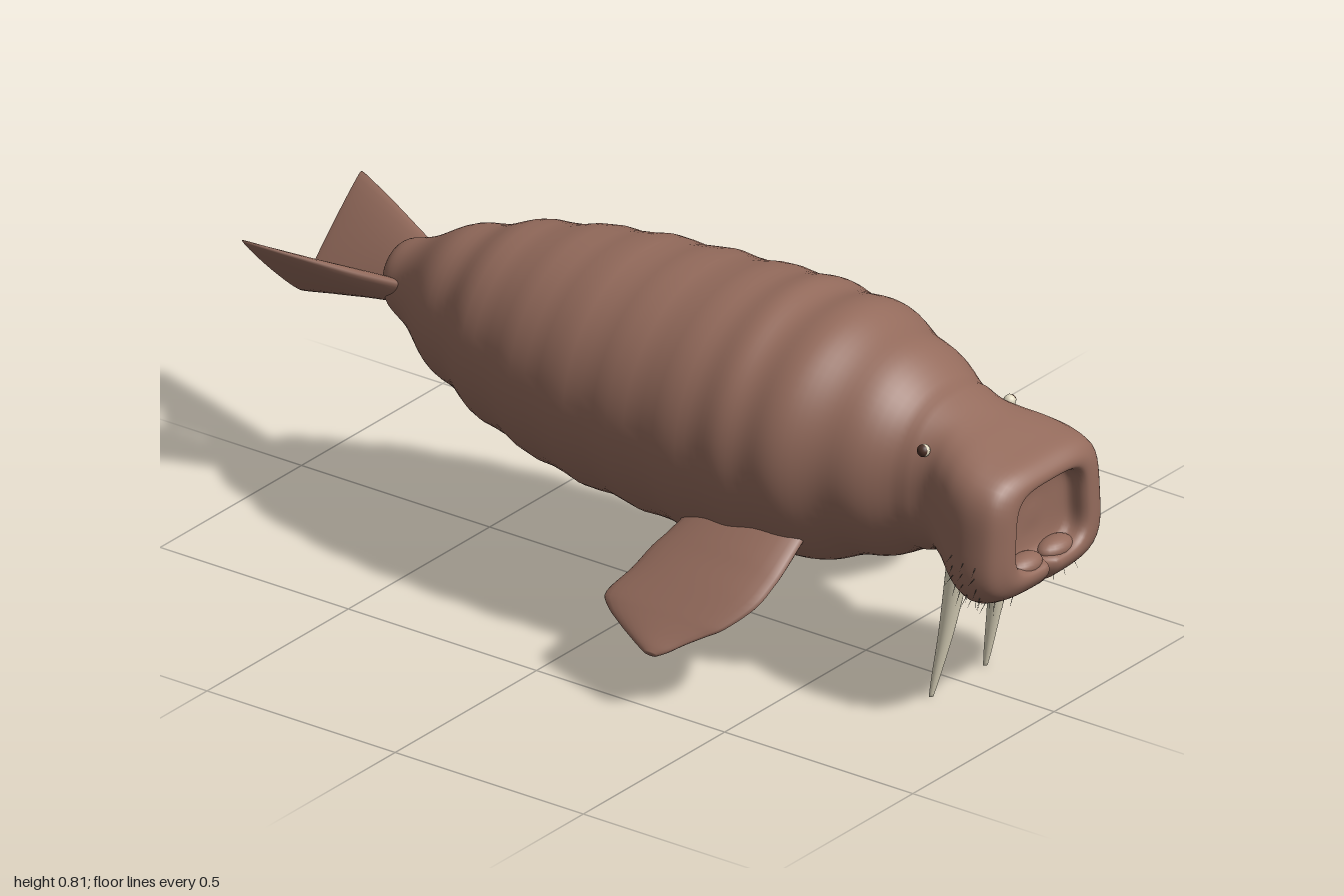
import * as THREE from 'three';

const V = (x, y, z) => new THREE.Vector3(x, y, z);
const mat = (name, color) => {
  const m = new THREE.MeshStandardMaterial({ color });
  m.name = name;
  return m;
};

// Catmull-Rom interpolation through rows of numbers
function smoothRows(rows, steps) {
  const out = [];
  const last = rows.length - 1;
  for (let i = 0; i < last; i++) {
    const [a, b, c, d] = [rows[Math.max(i - 1, 0)], rows[i], rows[i + 1], rows[Math.min(i + 2, last)]];
    for (let k = 0; k < steps; k++) {
      const t = k / steps;
      out.push(b.map((_, n) => b[n] + 0.5 * t * (c[n] - a[n] +
        t * (2 * a[n] - 5 * b[n] + 4 * c[n] - d[n] + t * (3 * (b[n] - c[n]) + d[n] - a[n])))));
    }
  }
  out.push(rows[last]);
  return out;
}

// Skin a list of closed rings and close both ends
function loft(rings) {
  const n = rings[0].length, pts = rings.flat(), index = [];
  const at = (i, j) => i * n + (j % n);
  for (let i = 0; i < rings.length - 1; i++) {
    for (let j = 0; j < n; j++) {
      index.push(at(i, j), at(i + 1, j), at(i, j + 1), at(i + 1, j), at(i + 1, j + 1), at(i, j + 1));
    }
  }
  const centre = r => r.reduce((s, p) => s.add(p), V(0, 0, 0)).divideScalar(n);
  const end = rings.length - 1, c0 = pts.length;
  pts.push(centre(rings[0]), centre(rings[end]));
  for (let j = 0; j < n; j++) {
    index.push(c0, at(0, j), at(0, j + 1), c0 + 1, at(end, j + 1), at(end, j));
  }
  const g = new THREE.BufferGeometry().setFromPoints(pts);
  g.setIndex(index);
  g.computeVertexNormals();
  return g;
}

// Lens-shaped limb; rows hold two edge points and a half thickness
function limb(rows, dir, steps = 4) {
  return loft(smoothRows(rows, steps).map(([x1, y1, z1, x2, y2, z2, t]) => {
    const c = V(x1 + x2, y1 + y2, z1 + z2).multiplyScalar(0.5);
    const A = V(x2 - x1, y2 - y1, z2 - z1).multiplyScalar(0.5);
    const B = A.clone().cross(dir).normalize().multiplyScalar(t);
    return Array.from({ length: 24 }, (_, j) => {
      const a = j / 24 * Math.PI * 2;
      return c.clone().addScaledVector(A, Math.cos(a)).addScaledVector(B, Math.sin(a));
    });
  }));
}

function mirrored(geometry) {
  const g = geometry.clone().scale(1, 1, -1);
  g.setIndex(Array.from(g.index.array).reverse());
  g.computeVertexNormals();
  return g;
}

// Point on a rounded-square section, a little wider at the bottom near the muzzle
function sectionPoint([x, bottom, top, hw, n], a) {
  const c = Math.cos(a), s = Math.sin(a);
  const r = Math.pow(Math.abs(c) ** n + Math.abs(s) ** n, -1 / n);
  const taper = 1 - 0.05 * (n - 2) / 2 * s;
  return V(x, (top + bottom) / 2 + (top - bottom) / 2 * r * s, hw * r * c * taper);
}

export function createModel() {
  const hide = mat('brown hide', 0x946b5c);
  const ivory = mat('ivory', 0xe0d8bf);
  const iris = mat('dark iris', 0x4a3026);
  const bristle = mat('grey bristle', 0x57524a);
  const model = new THREE.Group();
  model.name = 'walrus';
  const add = (name, geometry, material) => {
    const m = new THREE.Mesh(geometry, material);
    m.name = name;
    model.add(m);
    return m;
  };

  // Body and head: x, bottom, top, half width, squareness
  const stations = [
    [-0.75, 0.49, 0.58, 0.04, 2], [-0.73, 0.46, 0.605, 0.07, 2], [-0.68, 0.425, 0.625, 0.09, 2],
    [-0.6, 0.365, 0.67, 0.145, 2], [-0.5, 0.325, 0.705, 0.19, 2], [-0.4, 0.287, 0.735, 0.235, 2],
    [-0.2, 0.24, 0.77, 0.285, 2], [0, 0.22, 0.786, 0.305, 2], [0.2, 0.203, 0.798, 0.314, 2],
    [0.3, 0.202, 0.806, 0.313, 2], [0.37, 0.212, 0.795, 0.305, 2], [0.44, 0.222, 0.8, 0.302, 2],
    [0.52, 0.245, 0.78, 0.268, 2], [0.6, 0.27, 0.752, 0.238, 2], [0.7, 0.31, 0.695, 0.192, 2.2],
    [0.77, 0.335, 0.662, 0.168, 2.5], [0.82, 0.325, 0.642, 0.182, 2.9], [0.87, 0.29, 0.626, 0.203, 3.4],
    [0.92, 0.28, 0.61, 0.21, 3.8], [0.97, 0.3, 0.593, 0.197, 4], [0.994, 0.325, 0.572, 0.165, 4],
    [0.998, 0.345, 0.553, 0.135, 4], [0.985, 0.356, 0.543, 0.12, 4], [0.95, 0.365, 0.535, 0.11, 4],
    [0.94, 0.4, 0.5, 0.06, 3], [0.94, 0.44, 0.46, 0.012, 2],
  ];
  const SEG = 64;
  const rings = smoothRows(stations, 5).map(row => {
    const [x, bottom, top, hw, n] = row;
    const fold = x < 0.72 ? 0.004 * Math.sin(x * 42) : 0; // soft skin folds
    const r = [x, bottom - fold, top + fold, hw + fold, n];
    return Array.from({ length: SEG }, (_, j) => {
      const p = sectionPoint(r, j / SEG * Math.PI * 2);
      // cleft of the upper lip
      if (x > 0.96 && p.y < 0.42 && Math.abs(p.z) < 0.004) p.x -= 0.02;
      return p;
    });
  });
  add('body', loft(rings), hide);

  // Front flippers: reach outwards, back edge x, front edge x, half thickness
  const slope = reach => 0.345 - 0.72 * (reach - 0.22);
  const flipper = limb([
    [0.2, 0.22, 0.5, 0.034], [0.28, 0.19, 0.5, 0.031], [0.32, 0.17, 0.497, 0.028], [0.37, 0.155, 0.485, 0.025],
    [0.425, 0.13, 0.445, 0.02], [0.45, 0.15, 0.412, 0.017], [0.475, 0.2, 0.378, 0.014],
    [0.5, 0.26, 0.348, 0.011], [0.513, 0.295, 0.327, 0.007],
  ].map(([z, xb, xf, t]) => [xb, slope(z), z, xf, slope(z), z, t]), V(0, -0.58, 0.81));

  // Hind flippers, spread in a V behind the body
  const hind = limb([
    [-0.65, 0.495, 0.035, -0.65, 0.555, 0.075, 0.016], [-0.75, 0.475, 0.012, -0.75, 0.567, 0.115, 0.021],
    [-0.87, 0.445, 0.004, -0.87, 0.59, 0.165, 0.018], [-0.985, 0.418, 0.002, -0.985, 0.612, 0.208, 0.011],
    [-1, 0.418, 0.003, -1, 0.613, 0.209, 0.005],
  ], V(-1, 0, 0));

  // Tusks, bending slightly backwards
  const tusk = limb([
    [0.785, 0.38, 0.078, 0.84, 0.38, 0.078, 0.026], [0.774, 0.28, 0.08, 0.822, 0.28, 0.08, 0.024],
    [0.762, 0.16, 0.086, 0.795, 0.16, 0.086, 0.018], [0.747, 0.05, 0.093, 0.765, 0.05, 0.093, 0.011],
    [0.741, 0, 0.096, 0.75, 0, 0.096, 0.006],
  ], V(-0.13, -0.99, 0));

  const limbs = [['frontFlipper', flipper, hide], ['hindFlipper', hind, hide], ['tusk', tusk, ivory]];
  for (const [name, g, material] of limbs) {
    add(name + 'Near', g, material);
    add(name + 'Far', mirrored(g), material);
  }

  const hair = new THREE.ConeGeometry(0.0016, 0.05, 4).translate(0, 0.025, 0);
  for (const s of [1, -1]) {
    // Eyes
    add('eyeball', new THREE.SphereGeometry(0.014, 16, 12), ivory).position.set(0.768, 0.608, 0.152 * s);
    const pupil = add('iris', new THREE.SphereGeometry(0.0148, 16, 6, 0, Math.PI * 2, 0, 1.15), iris);
    pupil.position.set(0.768, 0.608, 0.152 * s);
    pupil.rotation.x = s * 1.3;

    // Lip pads inside the mouth hollow
    const lip = add('lipPad', new THREE.SphereGeometry(1, 20, 14), hide);
    lip.scale.set(0.032, 0.024, 0.052);
    lip.position.set(0.96, 0.358, 0.054 * s);

    // Whiskers around the lower muzzle
    const whiskers = new THREE.Group();
    whiskers.name = 'whiskers';
    for (let row = 0; row < 3; row++) {
      for (let k = 0; k < 8; k++) {
        const a = -0.18 - k * 0.14 - row * 0.04;
        const p = sectionPoint([0.885 + row * 0.03, 0.285, 0.61, 0.203, 3.7], a);
        const w = new THREE.Mesh(hair, bristle);
        w.name = 'whisker';
        w.position.set(p.x, p.y, p.z * s);
        const dir = V(0.25 * Math.sin(k * 2.3 + row), Math.sin(a) - 0.15, Math.cos(a) * 0.75 * s).normalize();
        w.quaternion.setFromUnitVectors(V(0, 1, 0), dir);
        w.position.addScaledVector(dir, -0.018);
        whiskers.add(w);
      }
    }
    model.add(whiskers);
  }
  return model;
}
